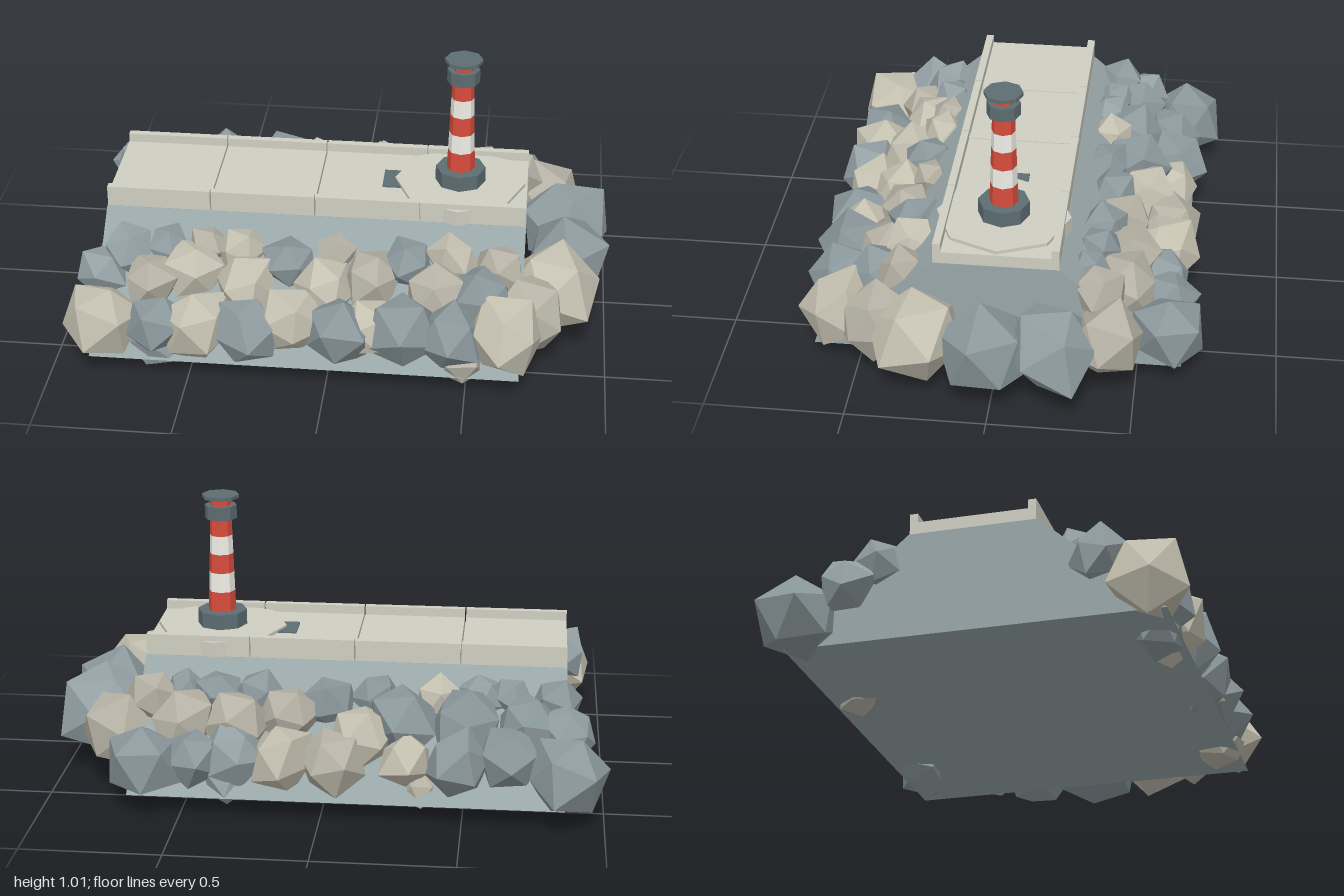
import * as THREE from 'three';
import { mergeVertices } from 'three/addons/utils/BufferGeometryUtils.js';

const mat = (color) => new THREE.MeshStandardMaterial({ color, flatShading: true });
const concrete = mat(0xcfcec2), stone = mat(0x98a6a8), dark = mat(0x5d6d72);
const red = mat(0xd84c3c), white = mat(0xf0f0e8);
const rockMats = [mat(0xc4c0b0), mat(0x93a0a4), mat(0xb5b1a4), mat(0x8a979b)];

let seed = 17;
const rand = () => {
  seed = (seed * 16807) % 2147483647;
  return seed / 2147483647;
};

function add(parent, name, geometry, material, x = 0, y = 0, z = 0) {
  const mesh = new THREE.Mesh(geometry, material);
  mesh.name = name;
  mesh.position.set(x, y, z);
  parent.add(mesh);
  return mesh;
}

// A boulder: an icosahedron with its corners pushed in and out
function rockGeometry(r) {
  let g = new THREE.IcosahedronGeometry(r, 0);
  g.deleteAttribute('normal');
  g.deleteAttribute('uv');
  g = mergeVertices(g, 1e-4);
  const p = g.attributes.position;
  for (let i = 0; i < p.count; i++) {
    const s = 0.8 + 0.34 * rand();
    p.setXYZ(i, p.getX(i) * s, p.getY(i) * s, p.getZ(i) * s);
  }
  g = g.toNonIndexed();
  g.computeVertexNormals();
  return g;
}

function addRock(parent, x, y, z, r, tone) {
  const material = rockMats[tone ?? Math.floor(rand() * rockMats.length)];
  const rock = add(parent, 'rock', rockGeometry(r), material, x, y, z);
  rock.rotation.set(rand() * 6, rand() * 6, rand() * 6);
}

// Tapered embankment under the deck
function buildCore(group) {
  const section = new THREE.Shape([
    new THREE.Vector2(-0.66, 0.075), new THREE.Vector2(0.66, 0.075),
    new THREE.Vector2(0.225, 0.455), new THREE.Vector2(-0.225, 0.455),
  ]);
  const g = new THREE.ExtrudeGeometry(section, { depth: 1.55, bevelEnabled: false });
  g.rotateY(Math.PI / 2);
  add(group, 'embankment', g, stone, -0.86, 0, 0);
}

// Boulders lying on both slopes, each as x, z, radius
const frontRocks = [
  [-0.83, 0.59, 0.15], [-0.85, 0.43, 0.11], [-0.76, 0.35, 0.1], [-0.66, 0.45, 0.12],
  [-0.62, 0.6, 0.12], [-0.47, 0.59, 0.14], [-0.5, 0.4, 0.12], [-0.61, 0.33, 0.09],
  [-0.34, 0.33, 0.1], [-0.46, 0.32, 0.08], [-0.31, 0.45, 0.13], [-0.29, 0.6, 0.13],
  [-0.14, 0.57, 0.13], [-0.16, 0.37, 0.11], [-0.02, 0.45, 0.12], [0.03, 0.59, 0.14],
  [0.0, 0.33, 0.08], [0.14, 0.4, 0.12], [0.14, 0.57, 0.11], [0.27, 0.57, 0.14],
  [0.27, 0.35, 0.1], [0.37, 0.44, 0.12], [0.43, 0.59, 0.13], [0.43, 0.33, 0.1],
  [0.54, 0.45, 0.13], [0.6, 0.35, 0.1], [0.63, 0.57, 0.15],
];
const backRocks = [
  [-0.86, -0.6, 0.16], [-0.66, -0.54, 0.13], [-0.48, -0.58, 0.13], [-0.3, -0.57, 0.11],
  [-0.28, -0.43, 0.14], [-0.13, -0.48, 0.13], [-0.03, -0.59, 0.12], [0.14, -0.57, 0.13],
  [0.32, -0.57, 0.12], [0.46, -0.59, 0.12], [0.63, -0.6, 0.15], [-0.87, -0.44, 0.11],
  [-0.72, -0.42, 0.12], [-0.5, -0.42, 0.13], [-0.82, -0.33, 0.1], [-0.67, -0.32, 0.08],
  [-0.55, -0.32, 0.09], [-0.4, -0.33, 0.09], [-0.18, -0.33, 0.1], [0.0, -0.36, 0.11],
  [0.13, -0.42, 0.12], [0.25, -0.35, 0.1], [0.4, -0.34, 0.1], [0.32, -0.45, 0.12],
  [0.51, -0.45, 0.13], [0.53, -0.32, 0.08], [0.64, -0.36, 0.11],
];
// The large ones round the seaward end and strays along the foot: x, y, z, radius, tone
const endRocks = [
  [0.72, 0.22, 0.43, 0.15, 2], [0.79, 0.22, 0.26, 0.175, 0],
  [0.84, 0.21, 0.02, 0.17, 3], [0.84, 0.23, -0.22, 0.18, 1],
  [0.76, 0.22, -0.4, 0.15, 2],
  [0.48, 0.1, 0.59, 0.1, 2], [-0.62, 0.11, 0.58, 0.1, 3],
  [-0.35, 0.11, -0.57, 0.08, 2], [0.35, 0.11, -0.57, 0.09, 1],
];

function buildRocks(group) {
  const rocks = new THREE.Group();
  rocks.name = 'rockArmour';
  for (const [x, z, r] of [...frontRocks, ...backRocks]) {
    addRock(rocks, x, 0.19 + (0.6 - Math.abs(z)) * 0.63, z, r);
  }
  for (const e of endRocks) addRock(rocks, ...e);
  group.add(rocks);
}

// Four slab lengths with a kerb wall along each edge
function buildDeck(group) {
  const deck = new THREE.Group();
  deck.name = 'deck';
  const pitch = 0.3875;
  for (let i = 0; i < 4; i++) {
    const x = -0.86 + pitch * (i + 0.5);
    add(deck, 'deckSlab', new THREE.BoxGeometry(pitch - 0.005, 0.045, 0.43), concrete, x, 0.4775, 0);
    for (const s of [-1, 1]) {
      add(deck, 'kerbWall', new THREE.BoxGeometry(pitch - 0.005, 0.078, 0.028), concrete, x, 0.494, s * 0.209);
    }
  }
  add(deck, 'doorStep', new THREE.BoxGeometry(0.12, 0.012, 0.125), dark, 0.21, 0.499, 0);
  group.add(deck);
}

// Banded tower on an octagonal platform
function buildLighthouse(group) {
  const tower = new THREE.Group();
  tower.name = 'lighthouse';
  tower.position.set(0.437, 0, 0);
  const drum = (name, y0, y1, r0, r1, material) =>
    add(tower, name, new THREE.CylinderGeometry(r1, r0, y1 - y0, 8), material, 0, (y0 + y1) / 2, 0);
  drum('platform', 0.456, 0.513, 0.243, 0.243, concrete);
  drum('towerBase', 0.513, 0.57, 0.093, 0.093, dark);
  const levels = [0.57, 0.645, 0.718, 0.79, 0.86, 0.93];
  const radius = (y) => 0.052 - (y - 0.57) * 0.033;
  for (let i = 0; i < 5; i++) {
    const [a, b] = [levels[i], levels[i + 1]];
    drum('towerBand', a, b, radius(a), radius(b), i % 2 ? white : red);
  }
  drum('gallery', 0.925, 0.975, 0.06, 0.06, dark);
  drum('lantern', 0.975, 1.002, 0.039, 0.039, red);
  drum('roof', 1.002, 1.015, 0.07, 0.07, dark);
  group.add(tower);
}

export function createModel() {
  const group = new THREE.Group();
  group.name = 'breakwater';
  buildCore(group);
  buildRocks(group);
  buildDeck(group);
  buildLighthouse(group);
  return group;
}
